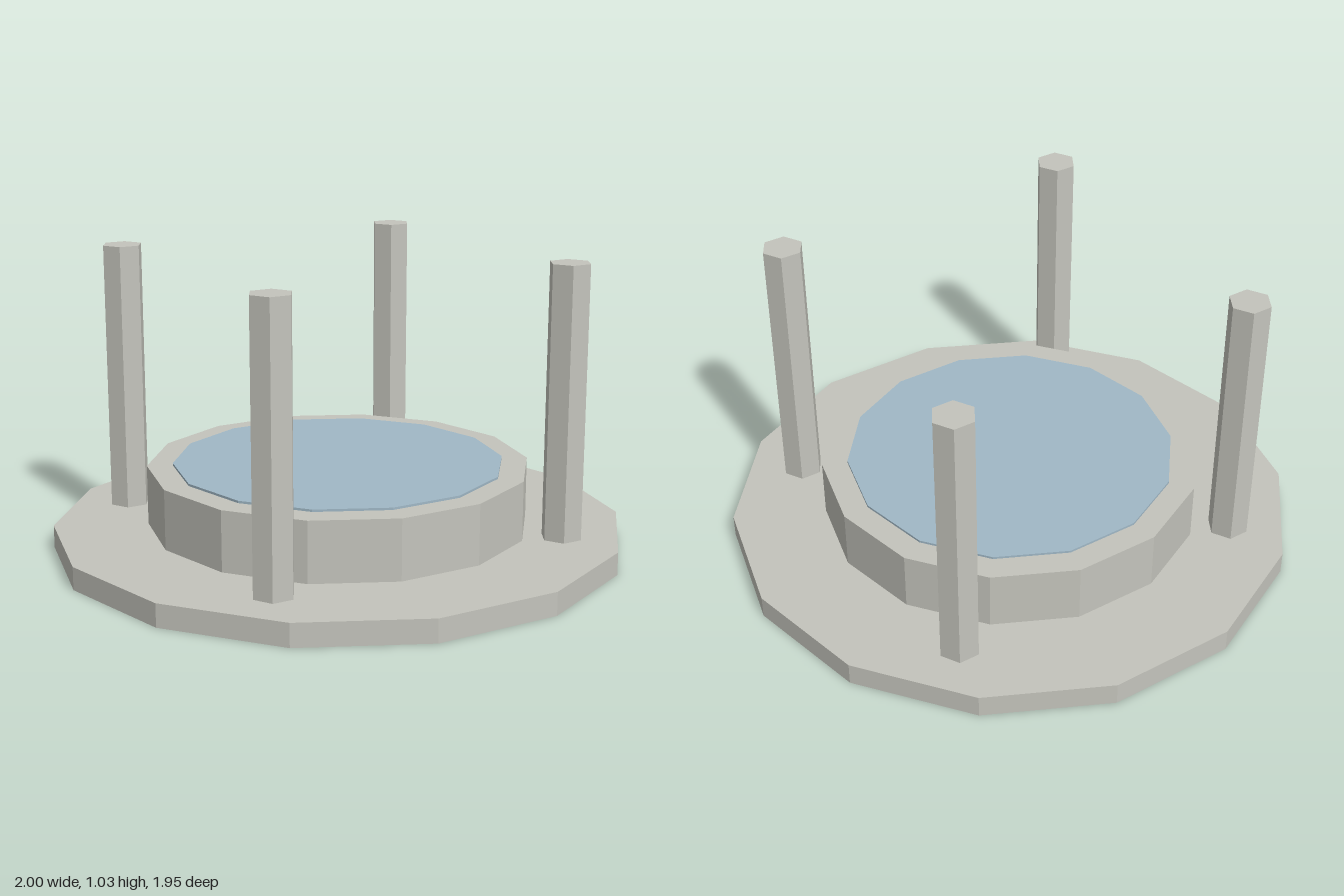
import * as THREE from 'three';

export function createModel() {
  const model = new THREE.Group();
  const stone = new THREE.MeshStandardMaterial({ color: 0xc4c4bc, flatShading: true });
  stone.name = 'stone';
  const water = new THREE.MeshStandardMaterial({ color: 0xa0b8c6, flatShading: true });
  water.name = 'water';

  // Upright prism from y0 to y1 with a corner pointing along +x
  function prism(name, radius, sides, y0, y1, material, x = 0, z = 0) {
    const geometry = new THREE.CylinderGeometry(radius, radius, y1 - y0, sides, 1, false, Math.PI / 2);
    const mesh = new THREE.Mesh(geometry, material);
    mesh.name = name;
    mesh.position.set(x, (y0 + y1) / 2, z);
    model.add(mesh);
  }

  // Stepped base and pool
  prism('basePlatform', 1, 14, 0, 0.08, stone);
  prism('basin', 0.67, 14, 0.08, 0.29, stone);
  prism('waterSurface', 0.58, 14, 0.29, 0.298, water);

  // Four hexagonal columns
  for (const x of [-1, 1]) {
    for (const z of [-1, 1]) {
      const name = (z > 0 ? 'front' : 'back') + (x > 0 ? 'Left' : 'Right') + 'Column';
      prism(name, 0.072, 6, 0.08, 1.03, stone, x * 0.558, z * 0.558);
    }
  }
  return model;
}
